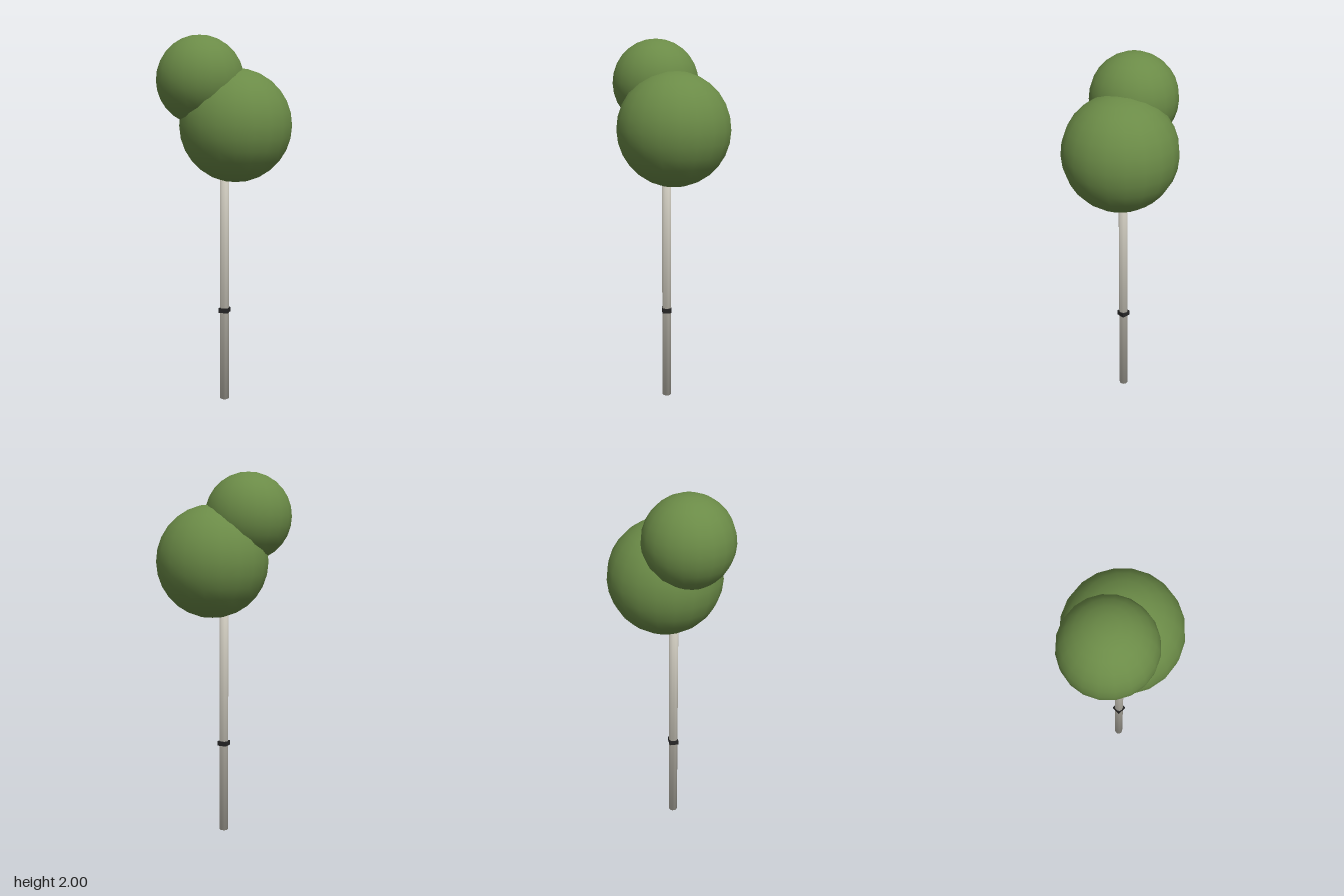
import * as THREE from 'three';

const material = (name, color) => {
  const m = new THREE.MeshStandardMaterial({ color });
  m.name = name;
  return m;
};

export function createModel() {
  const group = new THREE.Group();
  group.name = 'tree';
  const leaf = material('leaf green', 0x6b8b47);
  const bark = material('pale bark', 0xcac6ba);
  const dark = material('dark band', 0x262626);

  const add = (name, geometry, mat, x, y, z) => {
    const mesh = new THREE.Mesh(geometry, mat);
    mesh.name = name;
    mesh.position.set(x, y, z);
    group.add(mesh);
  };

  // Trunk, with normals rounded over at both ends
  const height = 1.3;
  const trunk = new THREE.CylinderGeometry(0.025, 0.025, height, 10);
  const pos = trunk.attributes.position;
  const normal = new THREE.Vector3();
  for (let i = 0; i < pos.count; i++) {
    normal.set(pos.getX(i) / 0.025, Math.sign(pos.getY(i)) * 0.7, pos.getZ(i) / 0.025).normalize();
    trunk.attributes.normal.setXYZ(i, normal.x, normal.y, normal.z);
  }
  add('trunk', trunk, bark, -0.001, height / 2, 0.027);

  // Square band around the trunk
  add('trunkBand', new THREE.BoxGeometry(0.051, 0.026, 0.051), dark, -0.001, 0.513, 0.027);

  // Two overlapping balls of foliage
  add('largeFoliage', new THREE.SphereGeometry(0.304, 20, 14), leaf, 0.05, 1.528, -0.01);
  add('smallFoliage', new THREE.SphereGeometry(0.234, 20, 14), leaf, -0.121, 1.766, 0.075);

  return group;
}
